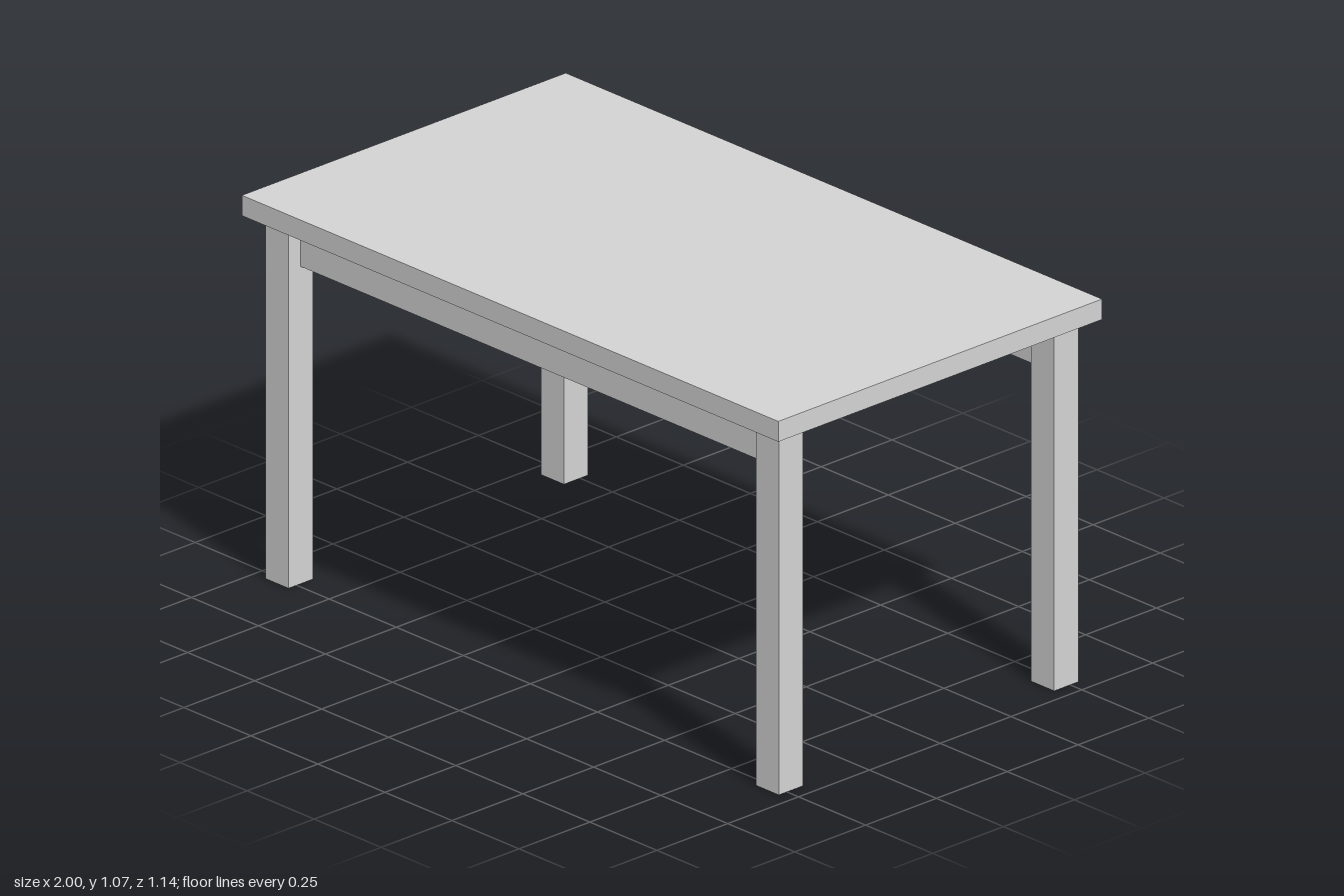
import * as THREE from 'three';

export function createModel() {
  const table = new THREE.Group();
  table.name = 'table';

  const lightGrey = new THREE.MeshStandardMaterial({ color: 0xd4d4d4 });
  lightGrey.name = 'lightGrey';

  const HEIGHT = 1.071, TOP = 0.057, LEG = 0.0857;
  const LEG_X = 0.914, LEG_Z = 0.486;
  const under = HEIGHT - TOP;

  function addBox(name, w, h, d, x, y, z) {
    const mesh = new THREE.Mesh(new THREE.BoxGeometry(w, h, d), lightGrey);
    mesh.name = name;
    mesh.position.set(x, y, z);
    table.add(mesh);
  }

  // Table top
  addBox('tableTop', 2, TOP, 1.143, 0, HEIGHT - TOP / 2, 0);

  const apronH = 0.127, apronD = 0.038, apronZ = 0.467;
  for (const sz of [1, -1]) {
    const end = sz > 0 ? 'front' : 'back';
    // Long apron, set just behind the inner faces of the legs
    addBox(end + 'Apron', 2 * LEG_X - LEG, apronH, apronD,
      0, under - apronH / 2, sz * apronZ);
    // Square legs
    for (const sx of [1, -1]) {
      addBox(end + (sx > 0 ? 'Left' : 'Right') + 'Leg', LEG, under, LEG,
        sx * LEG_X, under / 2, sz * LEG_Z);
    }
  }

  return table;
}
